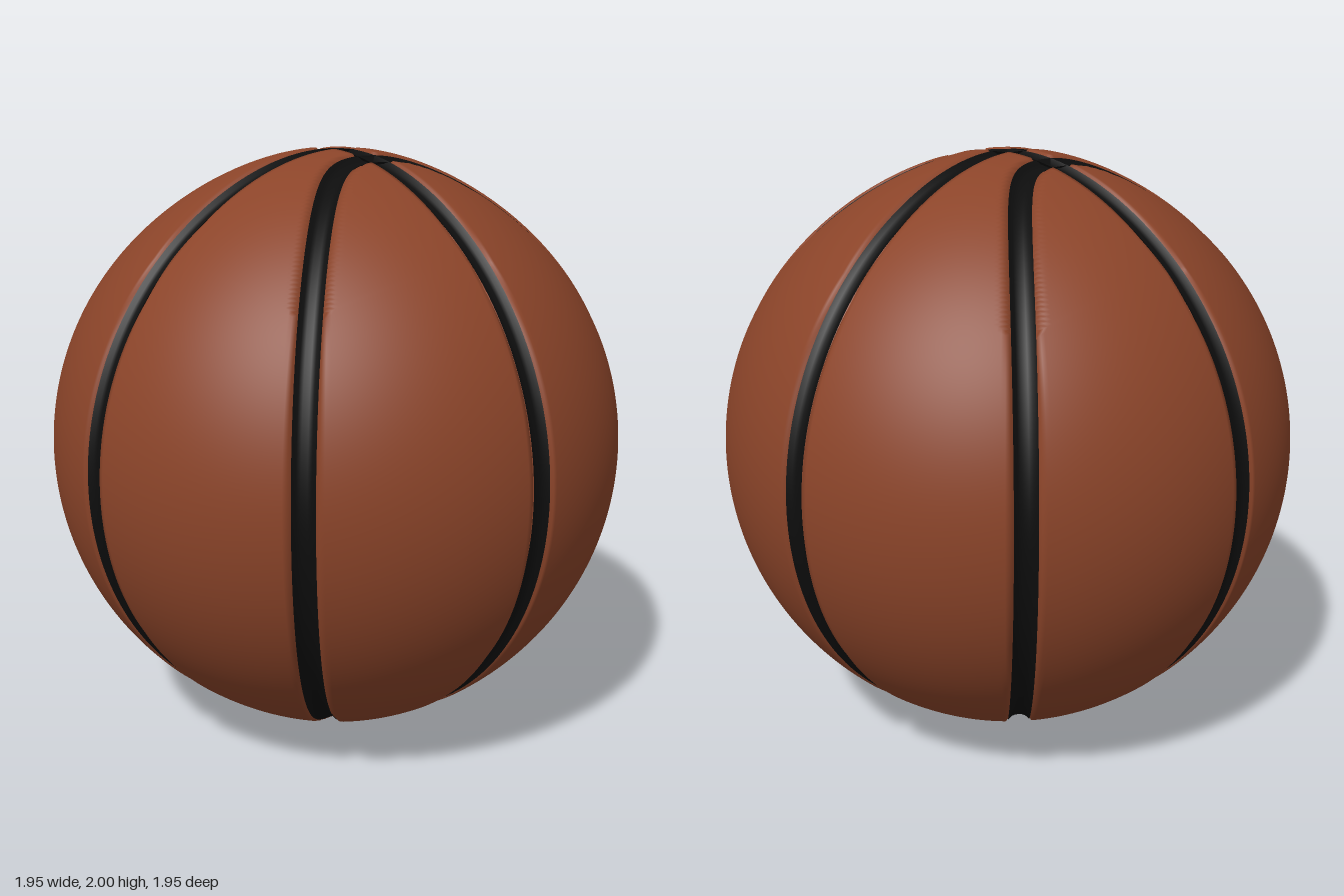
import * as THREE from 'three';
import { mergeVertices } from 'three/addons/utils/BufferGeometryUtils.js';

// Radius of the ball in a direction: a little taller towards the poles
const radius = (dir) => 0.975 + 0.028 * Math.pow(Math.abs(dir.y), 10);

// Curved side seam as directions on the unit sphere, u runs 0..2PI
function sideSeam(u, sign) {
  const z = Math.sin(u) * Math.SQRT1_2;
  const x = Math.cbrt(Math.abs(z) ** 3 + 0.19 ** 3 * Math.cos(u) ** 2);
  const y = Math.sign(Math.cos(u)) * Math.sqrt(Math.max(0, 1 - x * x - z * z));
  return new THREE.Vector3(sign * x, y, z).normalize();
}

// Panels: a rounded cube grid pushed to the ball, sunk along every seam
function panelGeometry() {
  const geo = new THREE.BoxGeometry(2, 2, 2, 100, 100, 100);
  geo.deleteAttribute('uv');
  geo.deleteAttribute('normal');
  const merged = mergeVertices(geo, 1e-4);
  const octant = [];
  for (let i = 0; i <= 300; i++) octant.push(sideSeam((i / 300) * Math.PI / 2, 1));

  const pos = merged.attributes.position;
  const dir = new THREE.Vector3();
  const mirrored = new THREE.Vector3();
  const warp = (v) => Math.tan(v * Math.PI / 4); // evens out the grid
  for (let i = 0; i < pos.count; i++) {
    dir.set(warp(pos.getX(i)), warp(pos.getY(i)), warp(pos.getZ(i))).normalize();
    mirrored.set(Math.abs(dir.x), Math.abs(dir.y), Math.abs(dir.z));
    let curve = Infinity;
    for (const p of octant) curve = Math.min(curve, p.distanceToSquared(mirrored));
    const d = Math.min(mirrored.x, mirrored.z, Math.sqrt(curve));
    const sink = 0.05 * (1 - THREE.MathUtils.smoothstep(d, 0.015, 0.046));
    dir.multiplyScalar(radius(dir) - sink);
    pos.setXYZ(i, dir.x, dir.y, dir.z);
  }
  merged.computeVertexNormals();
  return merged;
}

// Seam: a hollow ribbon swept along a closed path on the ball
function seamGeometry(path) {
  const steps = 240;
  const profile = [[-0.037, 0.006], [-0.024, 0.018], [-0.01, 0.023],
    [0.01, 0.023], [0.024, 0.018], [0.037, 0.006]];
  const n = profile.length;
  const positions = [];
  const indices = [];
  for (let i = 0; i < steps; i++) {
    const u = ((i + 0.5) / steps) * Math.PI * 2;
    const p = path(u);
    const tangent = path(u + 0.004).sub(path(u - 0.004)).normalize();
    const side = p.clone().cross(tangent).normalize();
    profile.forEach(([across, depth], j) => {
      const v = p.clone().addScaledVector(side, across).normalize();
      v.multiplyScalar(radius(v) - depth);
      positions.push(v.x, v.y, v.z);
      if (j === n - 1) return;
      const a = i * n + j;
      const b = ((i + 1) % steps) * n + j;
      indices.push(a, b, a + 1, b, b + 1, a + 1);
    });
  }
  const geo = new THREE.BufferGeometry();
  geo.setAttribute('position', new THREE.Float32BufferAttribute(positions, 3));
  geo.setIndex(indices);
  geo.computeVertexNormals();
  return geo;
}

export function createModel() {
  const model = new THREE.Group();
  model.name = 'ball';
  const leather = new THREE.MeshStandardMaterial({ color: 0x8b4429 });
  const rubber = new THREE.MeshStandardMaterial({ color: 0x0d0d0d, side: THREE.DoubleSide });

  const add = (name, geo, material) => {
    const mesh = new THREE.Mesh(geo, material);
    mesh.name = name;
    mesh.position.y = 1;
    model.add(mesh);
  };

  add('panels', panelGeometry(), leather);

  // Two great-circle seams and a mirrored pair of curved ones
  const seams = {
    frontBackSeam: (u) => new THREE.Vector3(0, Math.cos(u), Math.sin(u)),
    leftRightSeam: (u) => new THREE.Vector3(Math.sin(u), Math.cos(u), 0),
    leftCurvedSeam: (u) => sideSeam(u, 1),
    rightCurvedSeam: (u) => sideSeam(u, -1),
  };
  for (const [name, path] of Object.entries(seams)) add(name, seamGeometry(path), rubber);

  return model;
}
